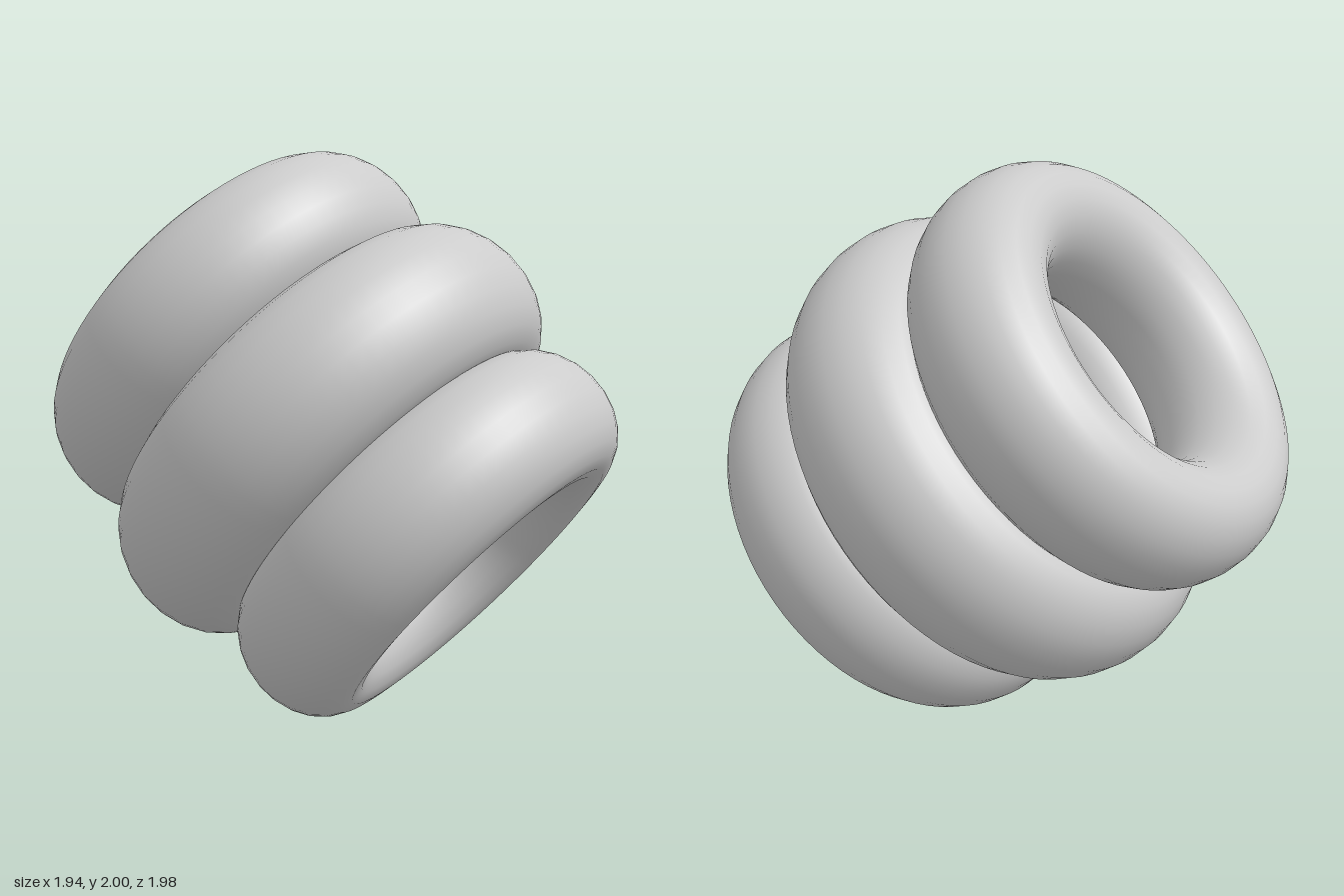
import * as THREE from 'three';

export function createModel() {
  const model = new THREE.Group();
  model.name = 'ringStack';
  const material = new THREE.MeshStandardMaterial({ color: 0xcccccc });

  // Rings share one tilted axis, local z, running down towards the front left
  const stack = new THREE.Group();
  stack.name = 'tiltedStack';
  const axis = new THREE.Vector3(0.476, -0.655, 0.585).normalize();
  stack.quaternion.setFromUnitVectors(new THREE.Vector3(0, 0, 1), axis);
  stack.position.y = 1;
  model.add(stack);

  // Ring with an oval section: tube is its radial half size, depth its axial one
  function addRing(name, radius, tube, depth, offset) {
    const geometry = new THREE.TorusGeometry(radius, tube, 24, 80);
    geometry.scale(1, 1, depth / tube);
    const ring = new THREE.Mesh(geometry, material);
    ring.name = name;
    ring.position.z = offset;
    stack.add(ring);
  }

  // Wide middle ring between two equal end rings
  addRing('middleRing', 0.66, 0.228, 0.288, 0);
  addRing('lowerRing', 0.588, 0.202, 0.252, 0.505);
  addRing('upperRing', 0.588, 0.202, 0.252, -0.505);

  return model;
}
